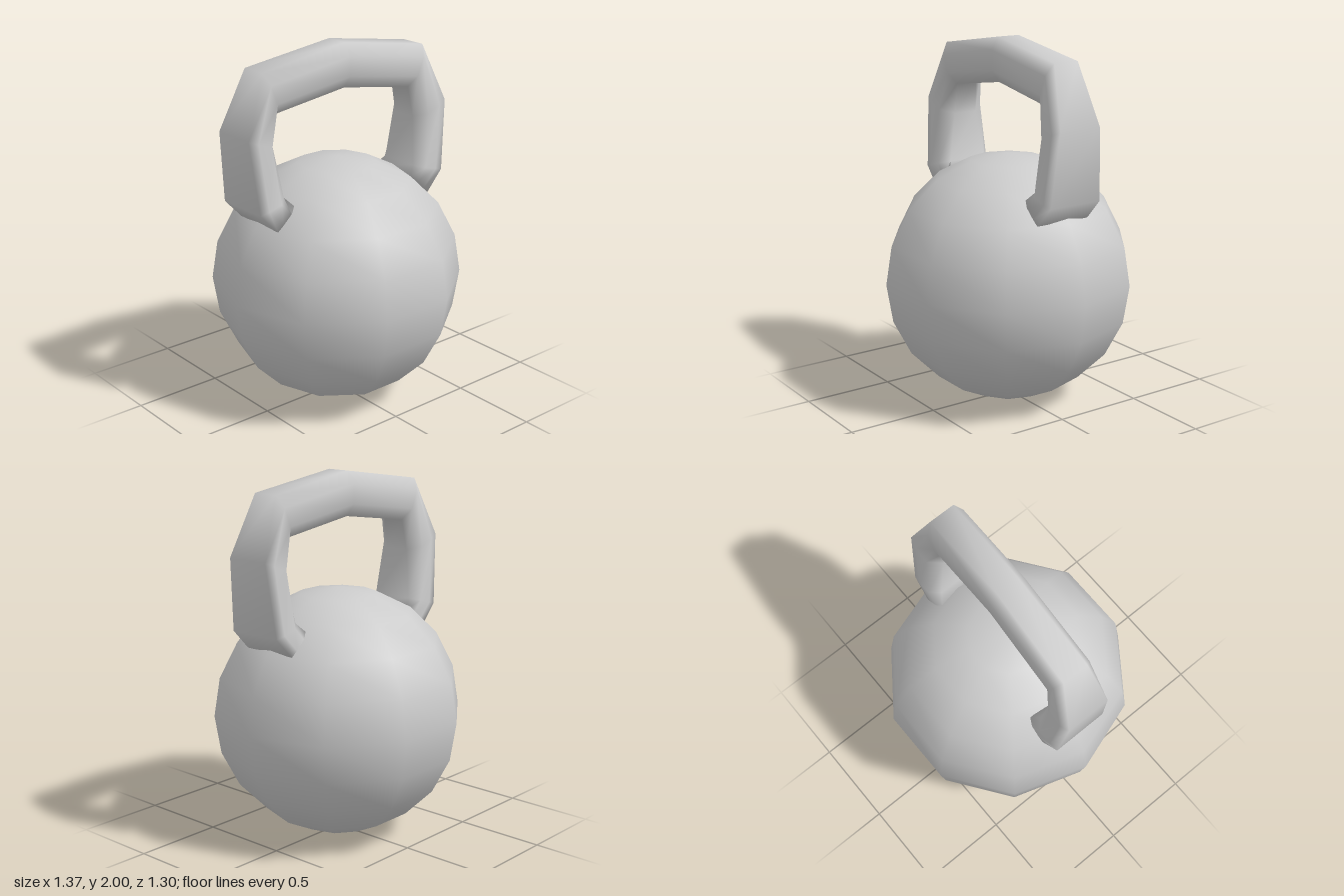
import * as THREE from 'three';

const material = new THREE.MeshStandardMaterial({ color: 0xcccccc });

// Half of the handle, from the foot on +x up to the middle of the grip:
// outer x, outer y, inner x, inner y, z centre, z half width, outer flat, inner flat
const HALF = [
  [0.51, 1.10, 0.39, 1.21, 0.02, 0.163, 0.98, 0.9],
  [0.615, 1.21, 0.435, 1.26, 0.02, 0.163, 0.95, 0.7],
  [0.653, 1.60, 0.463, 1.525, 0.025, 0.138, 0.9, 0.5],
  [0.525, 1.92, 0.435, 1.695, 0.02, 0.112, 0.65, 0.55],
  [0, 2.0, 0, 1.76, 0, 0.108, 0.6, 0.55],
];

// Eight-sided section running from the outer face round to the inner face
function section([ox, oy, ix, iy, zc, half, fo, fi]) {
  return [[1, -fo], [1, fo], [0.72, 1], [0.28, 1], [0, fi], [0, -fi], [0.28, -1], [0.72, -1]]
    .map(([u, w]) => [ix + (ox - ix) * u, iy + (oy - iy) * u, zc + half * w]);
}

function handleGeometry() {
  // The other half is the same shape turned half a turn about the upright axis
  const turned = HALF.slice(0, -1).reverse()
    .map(([ox, oy, ix, iy, zc, ...rest]) => [-ox, oy, -ix, iy, -zc, ...rest]);
  const rings = [...HALF, ...turned].map(section);
  const n = 8, last = rings.length - 1;
  const positions = rings.flat(2);
  const index = [];
  for (let i = 0; i < last; i++) {
    for (let k = 0; k < n; k++) {
      const a = i * n + k, b = i * n + (k + 1) % n;
      index.push(a, a + n, b, b, a + n, b + n);
    }
  }
  // Close the two feet
  for (let k = 1; k < n - 1; k++) {
    index.push(0, k, k + 1);
    index.push(last * n, last * n + k + 1, last * n + k);
  }
  const geometry = new THREE.BufferGeometry();
  geometry.setAttribute('position', new THREE.Float32BufferAttribute(positions, 3));
  geometry.setIndex(index);
  geometry.computeVertexNormals();
  return geometry;
}

export function createModel() {
  const group = new THREE.Group();
  group.name = 'kettlebell';

  // Round weight
  const ball = new THREE.Mesh(new THREE.SphereGeometry(0.686, 10, 10), material);
  ball.name = 'ball';
  ball.position.y = 0.688;
  group.add(ball);

  // Slightly twisted grip with flared feet
  const handle = new THREE.Mesh(handleGeometry(), material);
  handle.name = 'handle';
  group.add(handle);

  return group;
}
